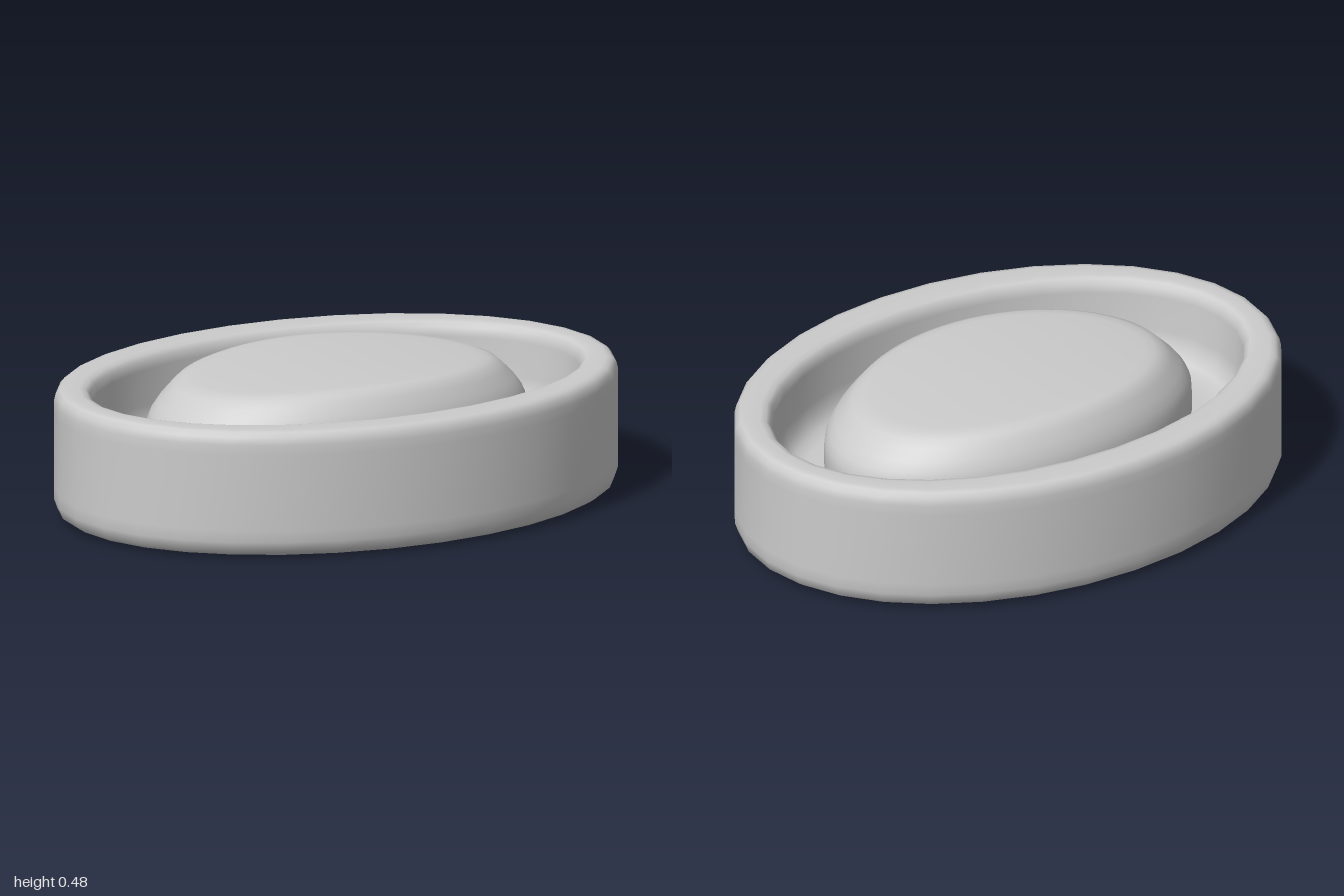
import * as THREE from 'three';

// Smooth surface through stacked elliptical rings [rx, rz, y], running bottom -> outside -> top.
function ellipticalShell(name, rings, sides, material, bend = () => 0) {
  const positions = [];
  const indices = [];
  for (const [rx, rz, y] of rings) {
    for (let i = 0; i < sides; i++) {
      const a = (i / sides) * Math.PI * 2;
      const x = rx * Math.cos(a);
      positions.push(x, y - bend(x, y), rz * Math.sin(a));
    }
  }
  for (let r = 0; r < rings.length - 1; r++) {
    for (let i = 0; i < sides; i++) {
      const j = (i + 1) % sides;
      const a = r * sides + i, b = r * sides + j;
      const c = a + sides, d = b + sides;
      indices.push(a, c, b, b, c, d);
    }
  }
  const geometry = new THREE.BufferGeometry();
  geometry.setAttribute('position', new THREE.Float32BufferAttribute(positions, 3));
  geometry.setIndex(indices);
  geometry.computeVertexNormals();
  const mesh = new THREE.Mesh(geometry, material);
  mesh.name = name;
  return mesh;
}

export function createModel() {
  const group = new THREE.Group();
  group.name = 'soapDish';
  const grey = new THREE.MeshStandardMaterial({ color: 0xcccccc });
  const FLOOR = 0.17;

  // Oval dish: underside, outer wall, rounded rim, inner wall and recessed floor
  const dish = [
    [0, 0, 0], [0.88, 0.62, 0], [0.92, 0.66, 0.002], [0.965, 0.705, 0.01], [0.988, 0.728, 0.025],
    [1, 0.74, 0.06], [1, 0.74, 0.1], [1, 0.74, 0.36], [1, 0.74, 0.395],
    [0.994, 0.734, 0.42], [0.98, 0.72, 0.436], [0.96, 0.7, 0.44],
    [0.92, 0.63, 0.44], [0.9, 0.608, 0.435], [0.885, 0.592, 0.42], [0.88, 0.585, 0.39],
    [0.875, 0.58, 0.27], [0.865, 0.57, 0.22], [0.84, 0.545, 0.185], [0.8, 0.505, FLOOR],
    [0.74, 0.46, FLOOR], [0, 0, FLOOR],
  ];
  group.add(ellipticalShell('dish', dish, 32, grey));

  // Soap bar: rounded oval whose top arches along its length
  const RX = 0.685, RZ = 0.455, TOP = 0.48;
  const profile = [
    [0, FLOOR], [0.92, FLOOR], [0.97, 0.185], [1, 0.22], [1, 0.3], [0.995, 0.34],
    [0.975, 0.375], [0.94, 0.41], [0.89, 0.445], [0.85, 0.468], [0.8, 0.478],
    [0.74, TOP], [0.6, TOP], [0.45, TOP], [0.3, TOP], [0.15, TOP], [0, TOP],
  ];
  const soap = profile.map(([s, y]) => [s * RX, s * RZ, y]);
  const arch = (x, y) => 0.09 * x * x * THREE.MathUtils.clamp((y - 0.22) / 0.22, 0, 1);
  group.add(ellipticalShell('soapBar', soap, 64, grey, arch));

  return group;
}
